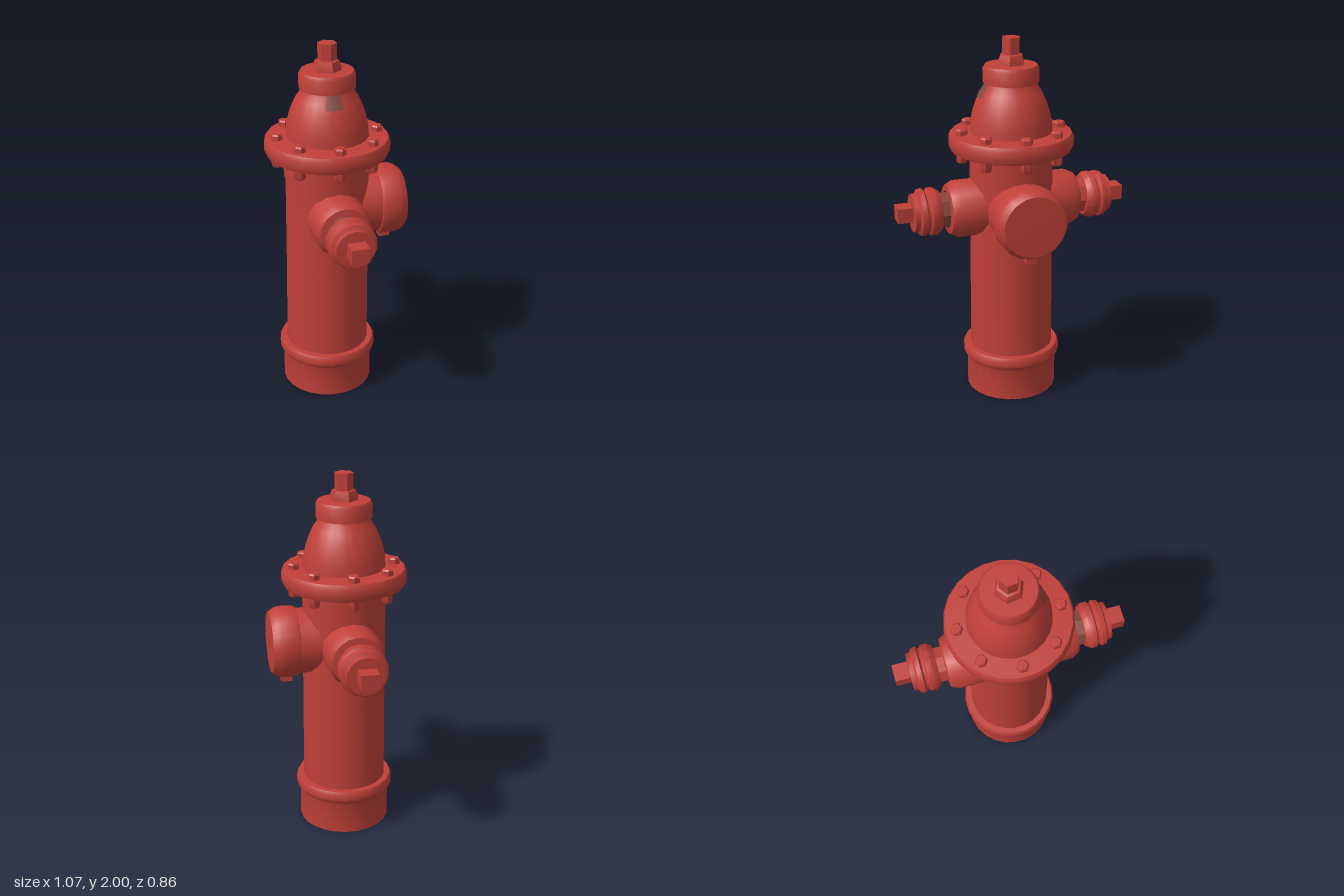
import * as THREE from 'three';
import { toCreasedNormals } from 'three/addons/utils/BufferGeometryUtils.js';

const red = new THREE.MeshStandardMaterial({ color: 0xc04038 });
red.name = 'red paint';
const worn = new THREE.MeshStandardMaterial({ color: 0x86483f });
worn.name = 'worn paint';

// Turned part from [radius, height] pairs, listed bottom to top
function turned(name, profile, sides, material = red, start = 0, sweep = Math.PI * 2) {
  const points = profile.map(([r, y]) => new THREE.Vector2(r, y));
  const geometry = toCreasedNormals(new THREE.LatheGeometry(points, sides, start, sweep), 0.6);
  const mesh = new THREE.Mesh(geometry, material);
  mesh.name = name;
  return mesh;
}

function box(name, w, h, d, x, y, z) {
  const mesh = new THREE.Mesh(new THREE.BoxGeometry(w, h, d), red);
  mesh.name = name;
  mesh.position.set(x, y, z);
  return mesh;
}

// Holder whose +z points outward from the barrel at the outlet height
function outlet(name, angle, parts, extra) {
  const group = new THREE.Group();
  group.name = name;
  parts.forEach((part) => {
    part.rotation.x = Math.PI / 2;
    group.add(part);
  });
  group.add(extra);
  group.position.y = 1.09;
  group.rotation.y = angle;
  return group;
}

function hoseOutlet(name, angle, throatMaterial) {
  return outlet(name, angle, [
    turned('hoseNeck', [[0.155, 0.1], [0.155, 0.32], [0.135, 0.36], [0.1, 0.365]], 16),
    turned('hoseThroat', [[0.1, 0.34], [0.1, 0.43]], 8, throatMaterial),
    turned('hoseCap', [
      [0.09, 0.405], [0.112, 0.408], [0.13, 0.435], [0.13, 0.465], [0.116, 0.474], [0.116, 0.485],
      [0.13, 0.495], [0.126, 0.52], [0.106, 0.53], [0.104, 0.555], [0, 0.56],
    ], 14),
  ], box('hoseCapLug', 0.095, 0.08, 0.1, 0, 0.005, 0.59));
}

export function createModel() {
  const model = new THREE.Group();
  model.name = 'hydrant';

  // Hollow foot with its lip, then the barrel
  model.add(turned('foot', [
    [0, 0.2], [0.225, 0.2], [0.235, 0], [0.252, 0], [0.252, 0.18], [0.272, 0.21],
    [0.272, 0.245], [0.262, 0.262], [0.22, 0.262],
  ], 24));
  model.add(turned('barrel', [[0.231, 0.25], [0.227, 0.8], [0.225, 1.42]], 24));

  // Flange and bolted bonnet
  model.add(turned('flange', [
    [0.2, 1.405], [0.3, 1.395], [0.325, 1.405], [0.336, 1.43], [0.336, 1.475], [0.325, 1.495], [0.2, 1.502],
  ], 24));
  model.add(turned('bonnet', [
    [0.222, 1.495], [0.219, 1.55], [0.206, 1.61], [0.187, 1.665], [0.163, 1.715], [0.138, 1.75], [0.132, 1.77],
  ], 24));
  model.add(turned('bonnetWornPatch', [[0.178, 1.693], [0.166, 1.717], [0.141, 1.752], [0.135, 1.768]],
    5, worn, 0.6, 0.55));
  model.add(turned('bonnetCollar', [
    [0.12, 1.762], [0.149, 1.765], [0.15, 1.838], [0.14, 1.856], [0, 1.86],
  ], 20));
  model.add(turned('operatingNut', [
    [0.076, 1.85], [0.074, 1.88], [0.064, 1.908], [0.05, 1.912], [0.051, 2], [0, 2],
  ], 6));

  // Bolt heads above the flange and nuts below it
  for (let i = 0; i < 8; i++) {
    const a = (i * 45 - 6) * Math.PI / 180;
    const bolt = new THREE.Group();
    bolt.name = 'flangeBolt';
    bolt.add(turned('boltHead', [[0.033, 1.49], [0.032, 1.522], [0.025, 1.53], [0, 1.53]], 6));
    bolt.add(turned('boltNut', [[0, 1.345], [0.026, 1.345], [0.032, 1.355], [0.032, 1.41]], 6));
    bolt.position.set(0.272 * Math.cos(a), 0, 0.272 * Math.sin(a));
    bolt.rotation.y = i;
    model.add(bolt);
  }

  // Two opposed hose outlets and the large pumper outlet between them
  const axis = 0.911;
  model.add(hoseOutlet('leftHoseOutlet', axis, worn));
  model.add(hoseOutlet('rightHoseOutlet', axis + Math.PI, red));
  model.add(outlet('pumperOutlet', axis + Math.PI / 2, [
    turned('pumperNeck', [[0.178, 0.05], [0.178, 0.29]], 20),
    turned('pumperCap', [
      [0.17, 0.262], [0.188, 0.268], [0.194, 0.29], [0.194, 0.36], [0.185, 0.385], [0.168, 0.41], [0, 0.413],
    ], 18),
  ], box('pumperCapLug', 0.055, 0.06, 0.06, 0, -0.195, 0.325)));

  return model;
}
